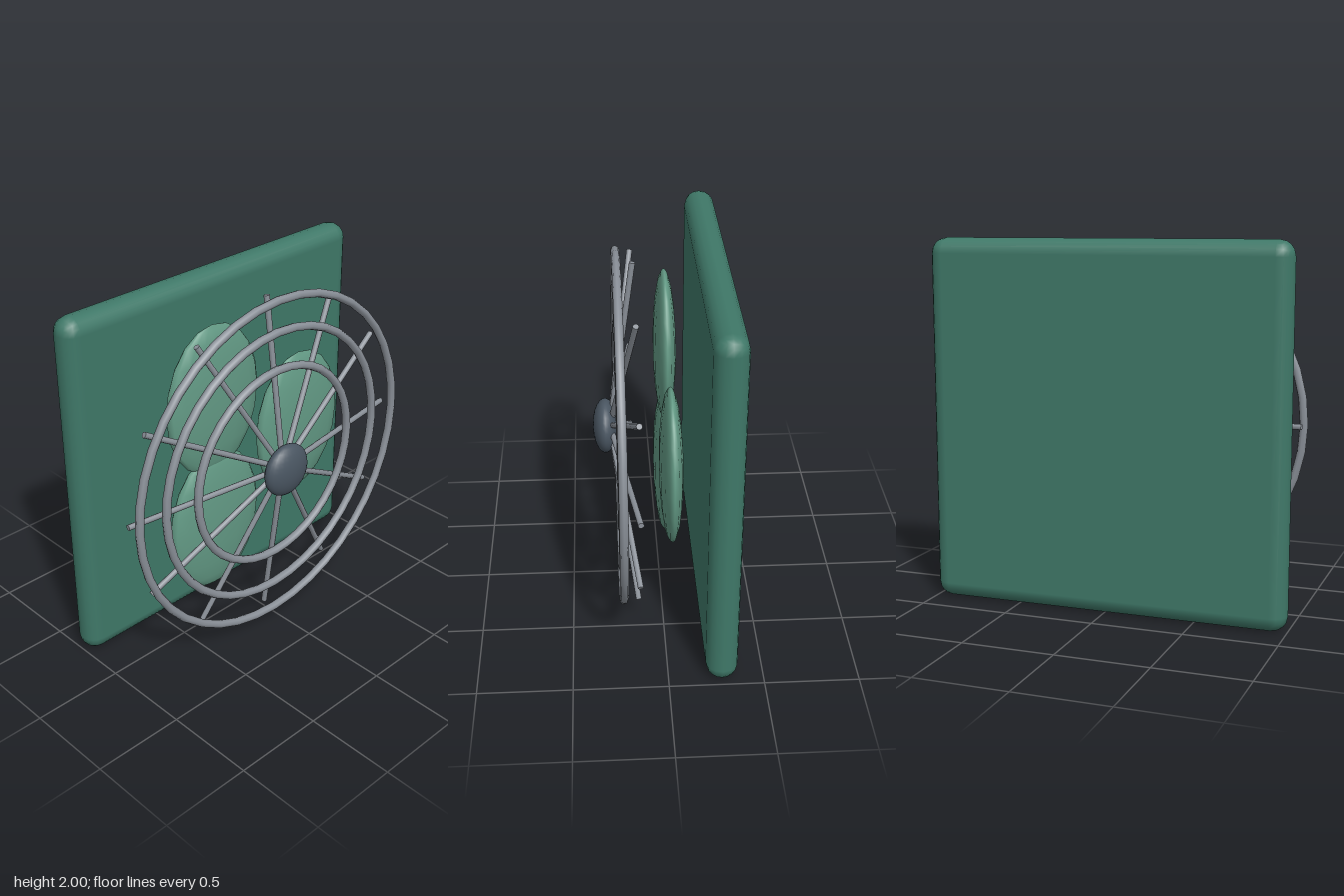
import * as THREE from 'three';
import { RoundedBoxGeometry } from 'three/addons/geometries/RoundedBoxGeometry.js';

const paint = (color) => new THREE.MeshStandardMaterial({ color });

export function createModel() {
  const fan = new THREE.Group();
  fan.name = 'boxFan';

  const panelGreen = paint(0x3f7868);
  const bladeGreen = paint(0x639a85);
  const wireGrey = paint(0x8a9098);
  const hubGrey = paint(0x4a5662);

  const add = (name, geometry, material, x, y, z, parent = fan) => {
    const mesh = new THREE.Mesh(geometry, material);
    mesh.name = name;
    mesh.position.set(x, y, z);
    parent.add(mesh);
    return mesh;
  };

  // Rounded square back panel
  add('backPanel', new RoundedBoxGeometry(2, 2, 0.17, 2, 0.085), panelGreen, 0, 1, -0.28);

  // Three lens-shaped blades spaced evenly around the axis
  const bladeGeometry = new THREE.SphereGeometry(1, 16, 10).scale(0.325, 0.435, 0.062);
  for (let i = 0; i < 3; i++) {
    const a = (i * Math.PI * 2) / 3;
    add('blade', bladeGeometry, bladeGreen, 0.43 * Math.cos(a), 1 + 0.43 * Math.sin(a), -0.04);
  }

  // Front guard: concentric rings
  const guard = new THREE.Group();
  guard.name = 'frontGuard';
  guard.position.y = 1;
  fan.add(guard);
  for (const radius of [0.565, 0.78, 0.955]) {
    add('guardRing', new THREE.TorusGeometry(radius, 0.023, 8, 40), wireGrey, 0, 0, 0.22, guard);
  }

  // Spokes sloping back from the hub to the rim
  const up = new THREE.Vector3(0, 1, 0);
  const inner = new THREE.Vector3(0, 0, 0.27);
  for (let i = 0; i < 12; i++) {
    const a = (i * Math.PI) / 6;
    const outer = new THREE.Vector3(0.96 * Math.cos(a), 0.96 * Math.sin(a), 0.137);
    const along = outer.clone().sub(inner);
    const middle = inner.clone().add(outer).multiplyScalar(0.5);
    const spoke = add('guardSpoke', new THREE.CylinderGeometry(0.016, 0.016, along.length(), 8),
      wireGrey, middle.x, middle.y, middle.z, guard);
    spoke.quaternion.setFromUnitVectors(up, along.normalize());
  }

  // Flattened hub cap
  add('hubCap', new THREE.SphereGeometry(1, 24, 16).scale(0.15, 0.15, 0.068), hubGrey, 0, 0, 0.295, guard);

  return fan;
}
